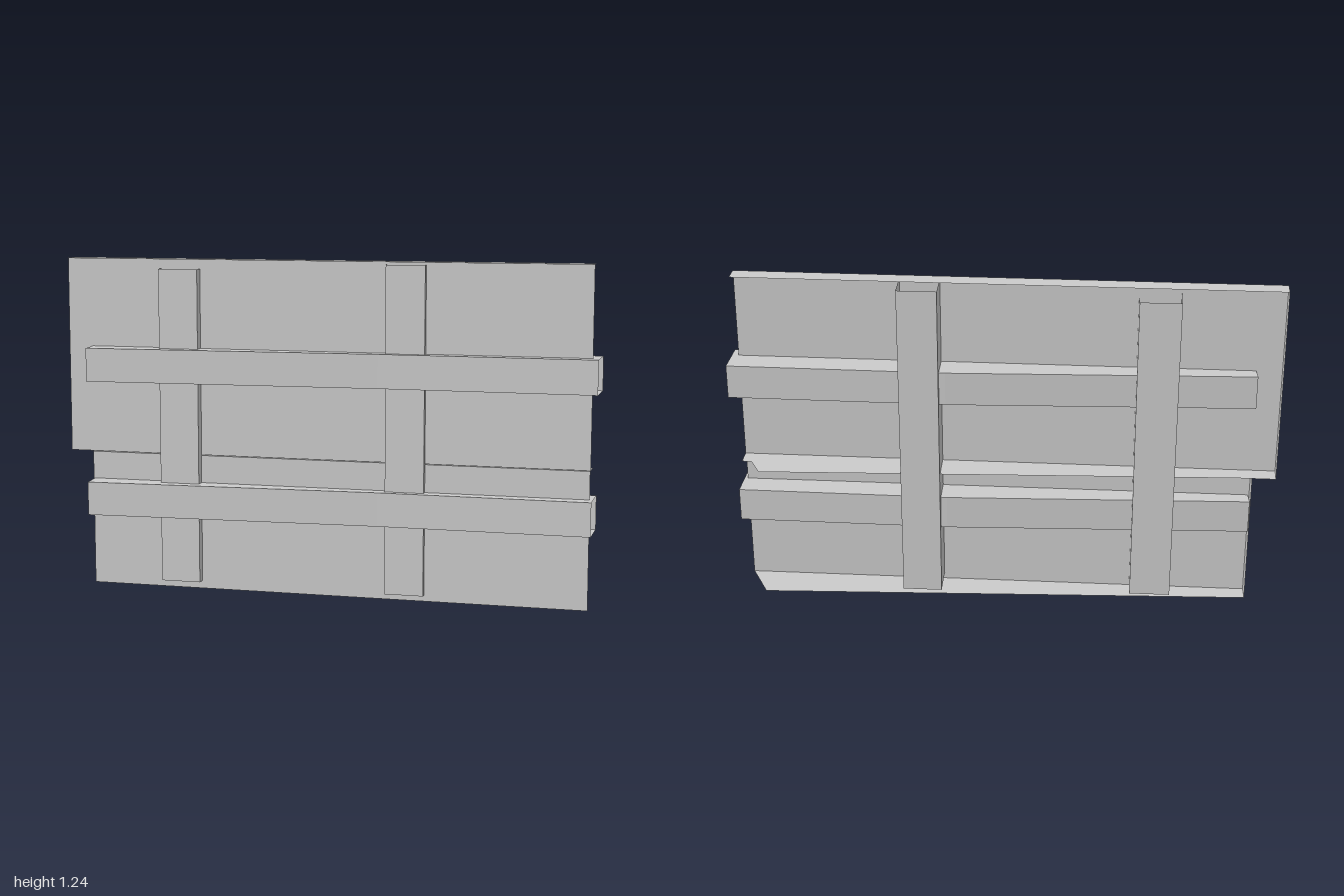
import * as THREE from 'three';

const material = new THREE.MeshStandardMaterial({ color: 0xcccccc, side: THREE.DoubleSide, flatShading: true });

// Skin a row of four-cornered sections with flat sheets.
// closed joins the last corner to the first; capped fills the first section.
function loft(name, sections, closed, capped) {
  const pos = [];
  const quad = (a, b, c, d) => [a, b, c, a, c, d].forEach((p) => pos.push(...p));
  for (let s = 0; s < sections.length - 1; s++) {
    const a = sections[s], b = sections[s + 1];
    for (let i = 0; i < (closed ? 4 : 3); i++) {
      const j = (i + 1) % 4;
      quad(a[i], a[j], b[j], b[i]);
    }
  }
  if (capped) quad(...[...sections[0]].reverse());
  const geometry = new THREE.BufferGeometry();
  geometry.setAttribute('position', new THREE.Float32BufferAttribute(pos, 3));
  geometry.computeVertexNormals();
  const mesh = new THREE.Mesh(geometry, material);
  mesh.name = name;
  return mesh;
}

// Upright section between a front and a back point given as [x, z]
const section = (front, back, y0, y1) => [
  [back[0], y1, back[1]],
  [front[0], y1, front[1]],
  [front[0], y0, front[1]],
  [back[0], y0, back[1]],
];

// Bent square rail: closed at the right end, open at the left end
function rail(name, y0, y1, endX, z) {
  return loft(name, [
    section([-0.905, 0.052 + z], [-0.908, -0.098 + z], y0, y1),
    section([0.2, 0.077 + z], [0.208, -0.073 + z], y0, y1),
    section([endX - 0.012, 0.133 + z], [endX, -0.016 + z], y0, y1),
  ], true, true);
}

// Square post: a sleeve open at top and bottom, turned slightly like the panels
function post(name, x0, x1, y0, y1, backZ) {
  const depth = 0.15, skew = 0.009;
  const ring = (y) => [
    [x0, y, backZ + depth],
    [x1 - 0.008, y, backZ + depth + skew],
    [x1, y, backZ + skew],
    [x0 + 0.008, y, backZ],
  ];
  return loft(name, [ring(y0), ring(y1)], true, false);
}

export function createModel() {
  const group = new THREE.Group();
  group.name = 'panelledBarrier';

  // Facing panels: front sheet, top and bottom flanges and one end flange
  group.add(loft('upperPanel', [
    section([-1, -0.05], [-0.995, -0.117], 0.51, 1.24),
    section([0.967, 0.082], [0.972, 0.014], 0.51, 1.24),
  ], false, true));
  group.add(loft('lowerPanel', [
    section([-0.912, -0.04], [-0.91, -0.105], 0, 0.508),
    section([0.965, 0.081], [0.9, -0.068], 0, 0.508),
  ], false, true));

  // Horizontal rails
  group.add(rail('upperRail', 0.785, 0.91, 1, 0));
  group.add(rail('lowerRail', 0.28, 0.405, 0.985, 0.003));

  // Upright posts
  group.add(post('rightPost', -0.632, -0.475, 0.03, 1.205, -0.136));
  group.add(post('leftPost', 0.224, 0.376, 0.023, 1.23, -0.095));

  return group;
}
